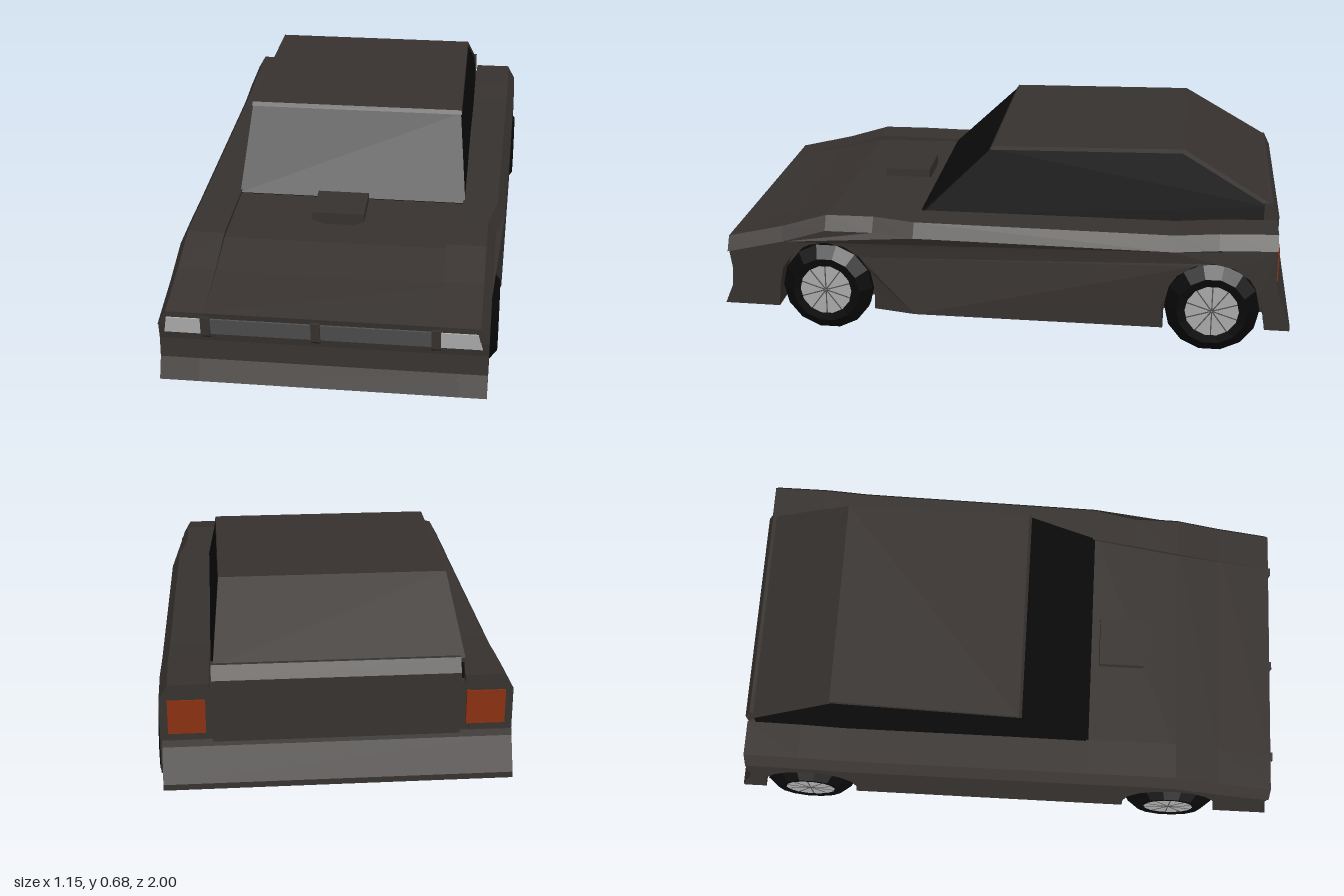
import * as THREE from 'three';

const paint = (color) => new THREE.MeshStandardMaterial({ color, flatShading: true, side: THREE.DoubleSide });
const BODY = paint(0x37322f), GLASS = paint(0x0b0b0b), TYRE = paint(0x080808), RIM = paint(0xaaaaaa);
const LAMP = paint(0xb4b4b4), GRILLE = paint(0x515151), TAIL = paint(0x8a300e);

// Piecewise-linear lookup in a table of [z, value] with falling z
function along(table, z) {
  if (z >= table[0][0]) return table[0][1];
  for (let i = 1; i < table.length; i++) {
    const [z0, a] = table[i - 1], [z1, b] = table[i];
    if (z >= z1) return a + (b - a) * (z0 - z) / (z0 - z1);
  }
  return table[table.length - 1][1];
}

// Outer flanks, inner fender seams and shoulder height along the car
const rightFlank = [[1, 0.51], [0.45, 0.515], [0.3, 0.545], [-0.9, 0.57], [-1, 0.56]];
const rightSeam = [[1, 0.35], [0.62, 0.35], [0.3, 0.395], [-1, 0.405]];
const shoulder = [[0.98, 0.33], [0.78, 0.378], [0.62, 0.428], [0.45, 0.43], [0.3, 0.428], [-0.6, 0.432], [-0.75, 0.446], [-0.945, 0.453]];
const xPos = (z) => along(rightFlank, z);
const xNeg = () => -0.56;

export function createModel() {
  const car = new THREE.Group();
  car.name = 'car';
  const add = (name, geometry, material, parent = car) => {
    const mesh = new THREE.Mesh(geometry, material);
    mesh.name = name;
    parent.add(mesh);
    return mesh;
  };

  // Side profile of [z, y] points spread between two x limits (numbers or rules)
  const slab = (name, pts, material, x0, x1) => {
    const shape = new THREE.Shape(pts.map(([z, y]) => new THREE.Vector2(z, y)));
    const g = new THREE.ExtrudeGeometry(shape, { depth: 1, bevelEnabled: false }).rotateY(-Math.PI / 2);
    const p = g.attributes.position;
    const at = (f, z, y) => (typeof f === 'function' ? f(z, y) : f);
    for (let i = 0; i < p.count; i++) {
      const z = p.getZ(i), y = p.getY(i);
      p.setX(i, p.getX(i) < -0.5 ? at(x0, z, y) : at(x1, z, y));
    }
    g.computeVertexNormals();
    return add(name, g, material);
  };

  // Skin over four-cornered cross-sections, closed at both ends
  const loft = (name, rings, material) => {
    const v = [];
    const quad = (a, b, c, d) => [a, b, c, a, c, d].forEach((q) => v.push(...q));
    for (let i = 0; i + 1 < rings.length; i++)
      for (let j = 0; j < 4; j++) {
        const k = (j + 1) % 4;
        quad(rings[i][j], rings[i][k], rings[i + 1][k], rings[i + 1][j]);
      }
    const f = rings[0], b = rings[rings.length - 1];
    quad(f[0], f[3], f[2], f[1]);
    quad(b[0], b[1], b[2], b[3]);
    const g = new THREE.BufferGeometry();
    g.setAttribute('position', new THREE.Float32BufferAttribute(v, 3));
    g.computeVertexNormals();
    return add(name, g, material);
  };

  // Core of the body between the wheels
  slab('bodyCore', [[0.98, 0.33], [0.965, 0.22], [0.97, 0.15], [1, 0.08], [0.8, 0.08], [0.78, 0.095], [-0.92, 0.11],
    [-0.94, 0.25], [-0.94, 0.43], [-0.6, 0.42], [0.3, 0.418], [0.62, 0.412], [0.78, 0.372]], BODY, -0.43, 0.42);

  // Side panels with wheel arches
  const arch = (cz, cy, r) => Array.from({ length: 9 }, (_, i) => {
    const a = Math.PI * i / 8;
    return [cz + r * Math.cos(a), cy + r * Math.sin(a)];
  });
  const panel = [[0.973, 0.28], [0.965, 0.22], [0.97, 0.15], [1, 0.08], [0.8, 0.08],
    ...arch(0.62, 0.162, 0.172), [0.45, 0.09], [0.3, 0.09], [-0.57, 0.1],
    ...arch(-0.735, 0.175, 0.172), [-0.91, 0.14], [-0.94, 0.14], [-0.945, 0.26],
    ...[...shoulder].reverse().slice(0, -1).map(([z, y]) => [z, y - 0.05])];
  slab('leftSidePanel', panel, BODY, 0.41, xPos);
  slab('rightSidePanel', panel, BODY, xNeg, -0.42);

  // Fender tops with a chamfered shoulder
  const section = (inner, outer, s, y, z) =>
    [[inner, y, z], [outer - 0.028 * s, y, z], [outer, y - 0.05, z], [inner, y - 0.05, z]];
  loft('leftFenderTop', shoulder.map(([z, y]) => section(along(rightSeam, z), xPos(z), 1, y, z)), BODY);
  loft('rightFenderTop', shoulder.map(([z, y]) => section(-0.405, -0.56, -1, y, z).reverse()), BODY);

  // Cabin: dark glasshouse under a painted roof and sloping tail
  const lean = (y) => Math.max(0, (y - 0.42) / 0.25);
  const cabL = (z, y) => 0.402 - 0.035 * lean(y);
  const cabR = (z, y) => -0.41 + (z < -0.5 ? 0.025 : 0.01) * lean(y);
  slab('cabinGlass', [[0.3, 0.41], [0.3, 0.42], [0.05, 0.658], [-0.62, 0.674], [-0.915, 0.495], [-0.915, 0.41]], GLASS, cabR, cabL);
  slab('roof', [[0.055, 0.655], [0.045, 0.668], [-0.62, 0.683], [-0.925, 0.505], [-0.925, 0.49], [-0.615, 0.668]], BODY,
    (z, y) => cabR(z, y) - 0.003, (z, y) => cabL(z, y) + 0.003);

  // Tail panel, rear bumper and rear lamps
  slab('tailPanel', [[-0.9, 0.51], [-0.9, 0.25], [-0.952, 0.25], [-0.952, 0.465], [-0.93, 0.51]], BODY, -0.39, 0.4);
  slab('rearBumper', [[-0.9, 0.262], [-0.95, 0.262], [-0.955, 0.24], [-1, 0.13], [-1, 0.11], [-0.915, 0.11]], BODY, -0.56, 0.56);
  const tail = [[-0.93, 0.285], [-0.93, 0.4], [-0.951, 0.4], [-0.951, 0.285]];
  slab('rightTailLamp', tail, TAIL, -0.535, -0.41);
  slab('leftTailLamp', tail, TAIL, 0.42, 0.54);

  // Headlamps, grille and dividers across the nose
  const strip = (d) => [[0.95, 0.31], [0.985 + d, 0.31], [0.976 + d, 0.25], [0.95, 0.25]];
  const lampR = (z, y) => (y < 0.28 ? -0.54 : -0.53);
  slab('rightHeadlamp', strip(0), LAMP, lampR, -0.415);
  slab('leftHeadlamp', strip(0), LAMP, 0.35, (z, y) => (y < 0.28 ? 0.49 : 0.475));
  slab('rightGrille', strip(-0.001), GRILLE, -0.39, -0.05);
  slab('leftGrille', strip(-0.001), GRILLE, -0.04, 0.33);
  for (const x of [-0.403, -0.045, 0.342])
    slab('grilleDivider', [[0.95, 0.318], [0.99, 0.318], [0.986, 0.25], [0.966, 0.232], [0.95, 0.232]], BODY, x - 0.015, x + 0.015);

  // Bonnet scoop
  const scoop = new THREE.Shape([[-0.12, 0.457], [-0.12, 0.428], [-0.07, 0.41], [0.01, 0.41], [0.06, 0.428], [0.06, 0.457]]
    .map(([x, y]) => new THREE.Vector2(x, y)));
  add('bonnetScoop', new THREE.ExtrudeGeometry(scoop, { depth: 0.165, bevelEnabled: false }).translate(0, 0, 0.33), BODY);

  // Wheels: tyre, rim and thin dark spoke lines on both faces
  const tyreGeo = new THREE.LatheGeometry([[0.092, -0.04], [0.13, -0.045], [0.16, -0.035], [0.162, 0.008], [0.12, 0.043], [0.092, 0.04]]
    .map(([r, y]) => new THREE.Vector2(r, y)), 14);
  const rimGeo = new THREE.CylinderGeometry(0.096, 0.096, 0.078, 14);
  const spokeGeo = new THREE.BoxGeometry(0.09, 0.08, 0.004).translate(0.047, 0, 0);
  const wheel = (name, x, y, z) => {
    const w = new THREE.Group();
    w.name = name;
    add('tyre', tyreGeo, TYRE, w);
    add('rim', rimGeo, RIM, w);
    for (let i = 0; i < 10; i++) add('spokeLine', spokeGeo, GRILLE, w).rotation.y = i * Math.PI / 5;
    w.position.set(x, y, z);
    w.rotation.z = x > 0 ? -Math.PI / 2 : Math.PI / 2;
    car.add(w);
  };
  wheel('frontLeftWheel', 0.495, 0.162, 0.62);
  wheel('frontRightWheel', -0.535, 0.162, 0.62);
  wheel('rearLeftWheel', 0.532, 0.175, -0.735);
  wheel('rearRightWheel', -0.535, 0.175, -0.735);

  return car;
}
